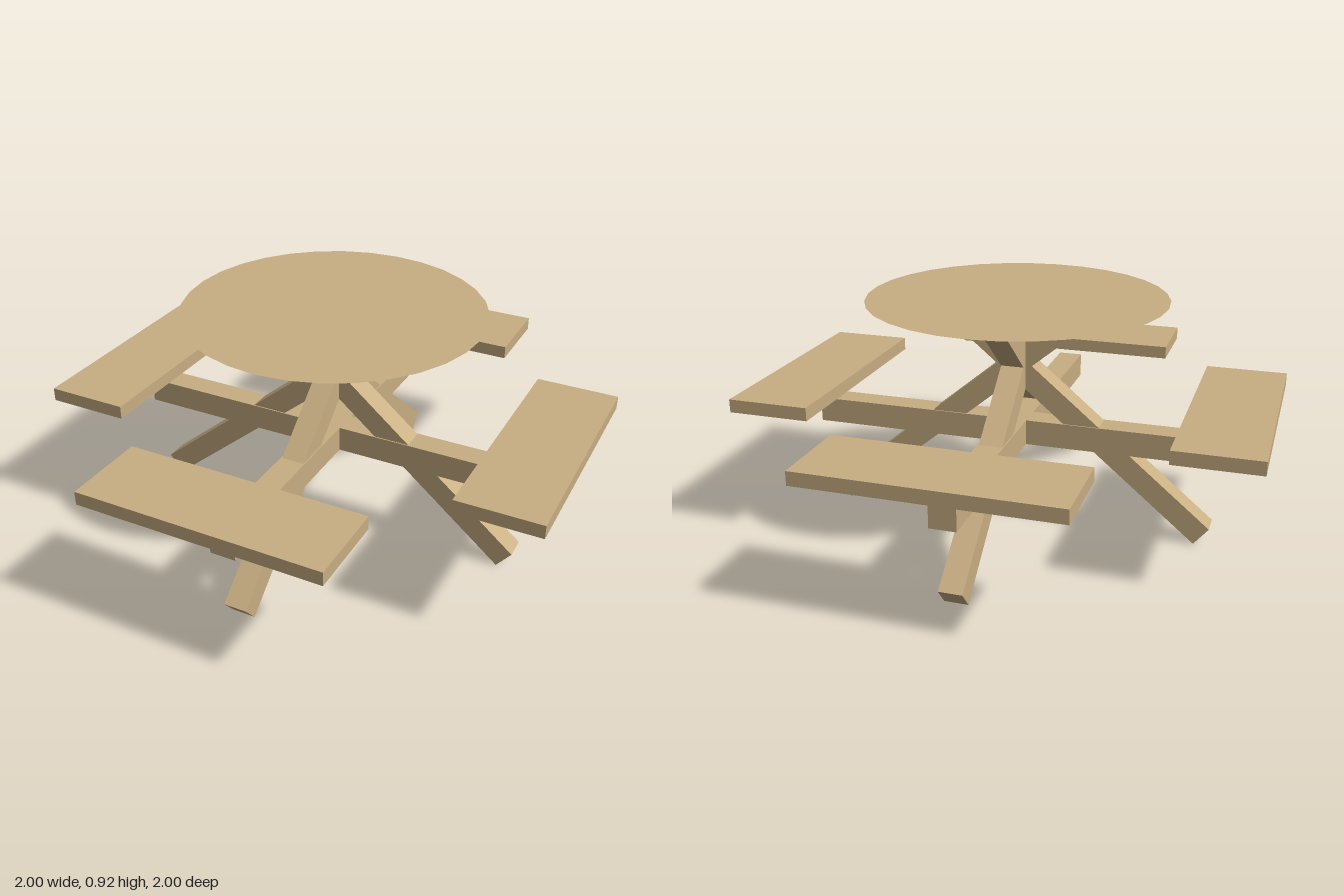
import * as THREE from 'three';

export function createModel() {
  const model = new THREE.Group();
  model.name = 'picnicTable';
  const wood = new THREE.MeshStandardMaterial({ color: 0xc8ae82 });
  wood.name = 'tan wood';
  const woodSheet = new THREE.MeshStandardMaterial({ color: 0xc8ae82, side: THREE.DoubleSide });
  woodSheet.name = 'tan wood sheet';

  const add = (parent, name, geometry, x, y, z, material = wood) => {
    const mesh = new THREE.Mesh(geometry, material);
    mesh.name = name;
    mesh.position.set(x, y, z);
    parent.add(mesh);
    return mesh;
  };

  // Thin round top
  const top = add(model, 'tableTop', new THREE.CircleGeometry(0.58, 32), 0, 0.92, 0, woodSheet);
  top.rotation.x = -Math.PI / 2;

  // Two identical frames at right angles: a beam, crossed legs and two benches
  const legGeometry = new THREE.BoxGeometry(1.307, 0.09, 0.09);
  const beamGeometry = new THREE.BoxGeometry(1.675, 0.1, 0.1);
  const benchGeometry = new THREE.BoxGeometry(0.322, 0.052, 0.94);
  const legAngle = Math.atan2(0.835, 1.005);

  for (const turn of [0, 1]) {
    const frame = new THREE.Group();
    frame.name = turn ? 'frontBackFrame' : 'sideFrame';
    frame.rotation.y = turn * Math.PI / 2;
    model.add(frame);

    add(frame, 'seatBeam', beamGeometry, 0, 0.39, 0);
    for (const s of [-1, 1]) {
      const leg = add(frame, 'leg', legGeometry, s * 0.2525, 0.454, 0);
      leg.rotation.z = -s * legAngle;
      add(frame, 'bench', benchGeometry, s * 0.839, 0.535, 0);
    }
  }
  return model;
}
